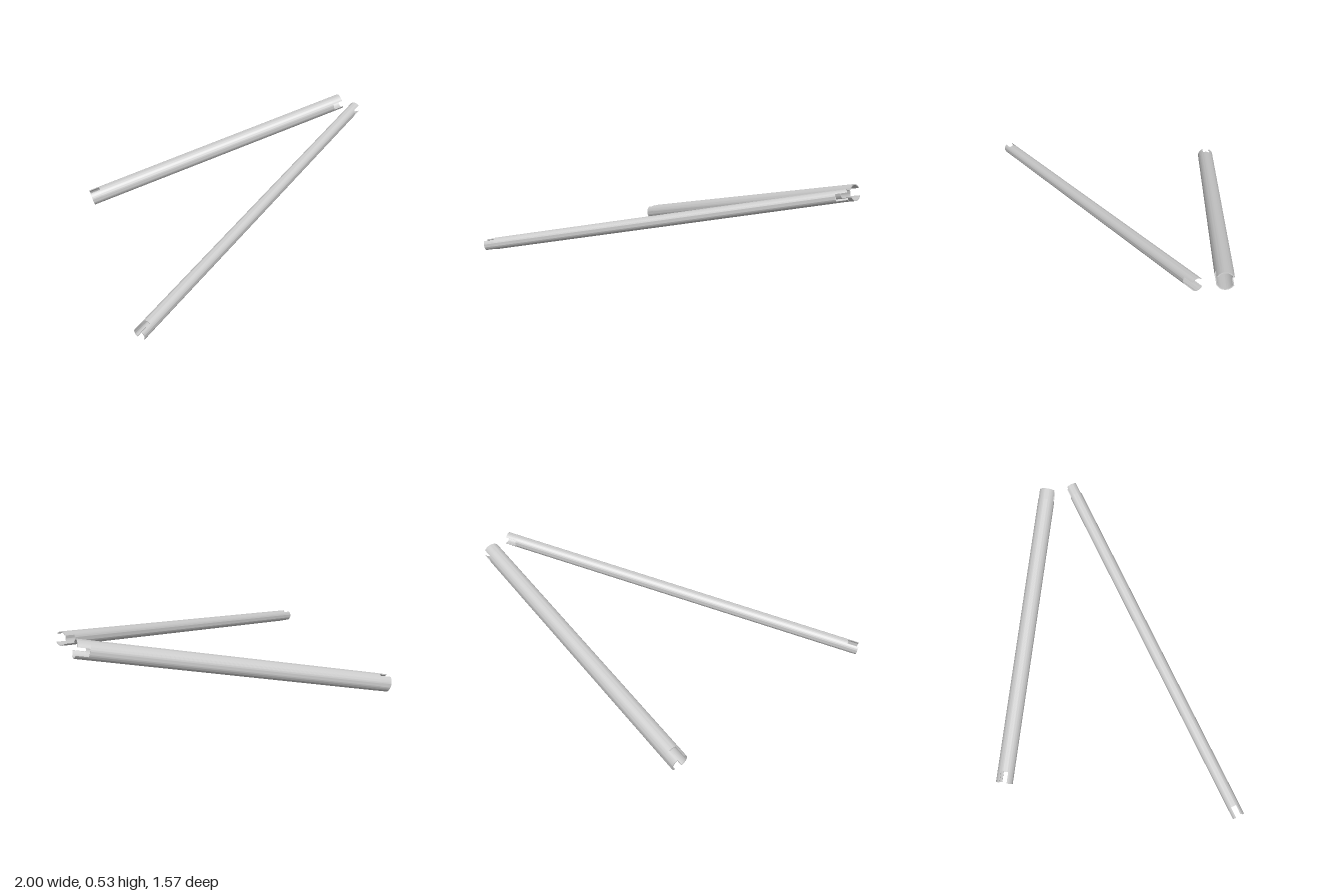
import * as THREE from 'three';
import { toCreasedNormals } from 'three/addons/utils/BufferGeometryUtils.js';

const SLOT_HALF = 0.023;
const SLOT_DEPTH = 0.071;

// Ring cross-section of the tube body
function ringShape(outer, inner) {
  const shape = new THREE.Shape().absarc(0, 0, outer, 0, Math.PI * 2, false);
  shape.holes.push(new THREE.Path().absarc(0, 0, inner, 0, Math.PI * 2, true));
  return shape;
}

// Arc cross-section of one prong, left beside a parallel-sided slot
function prongShape(outer, inner) {
  const a = Math.acos(SLOT_HALF / outer);
  const b = Math.acos(SLOT_HALF / inner);
  const shape = new THREE.Shape();
  const turn = Math.PI / 2;
  const ao = turn - Math.asin(SLOT_HALF / outer);
  const ai = turn - Math.asin(SLOT_HALF / inner);
  shape.absarc(0, 0, outer, -Math.min(a, ao), Math.min(a, ao), false);
  shape.absarc(0, 0, inner, Math.min(b, ai), -Math.min(b, ai), true);
  return shape;
}

function extrude(shape, depth, segments) {
  const geometry = new THREE.ExtrudeGeometry(shape, { depth, bevelEnabled: false, curveSegments: segments });
  return toCreasedNormals(geometry, 0.6);
}

// Tube from its low end to its high end, with a slot across each end
function slottedTube(name, low, high, outer, wall, material) {
  const tube = new THREE.Group();
  tube.name = name;
  const length = low.distanceTo(high);
  const inner = outer - wall;

  const body = new THREE.Mesh(extrude(ringShape(outer, inner), length - 2 * SLOT_DEPTH, 64), material);
  body.name = 'tubeBody';
  body.position.z = SLOT_DEPTH;
  tube.add(body);

  // Side prongs at the low end, upper and lower prongs at the high end
  const prongGeometry = extrude(prongShape(outer, inner), SLOT_DEPTH, 24);
  for (const [end, z, turn] of [['low', 0, 0], ['high', length - SLOT_DEPTH, Math.PI / 2]]) {
    for (const half of [0, Math.PI]) {
      const prong = new THREE.Mesh(prongGeometry, material);
      prong.name = end + 'EndProng';
      prong.position.z = z;
      prong.rotation.z = turn + half;
      tube.add(prong);
    }
  }

  tube.position.copy(low);
  tube.lookAt(high);
  return tube;
}

export function createModel() {
  const model = new THREE.Group();
  model.name = 'slottedTubes';
  const material = new THREE.MeshStandardMaterial({ color: 0xcccccc });

  // Long, slim diagonal tube
  model.add(slottedTube('longTube',
    new THREE.Vector3(-0.977, 0.046, 0.75), new THREE.Vector3(0.976, 0.489, -0.561), 0.039, 0.005, material));

  // Shorter, thicker tube at the back
  model.add(slottedTube('shortTube',
    new THREE.Vector3(-0.947, 0.048, -0.738), new THREE.Vector3(0.93, 0.478, -0.714), 0.053, 0.006, material));

  return model;
}
